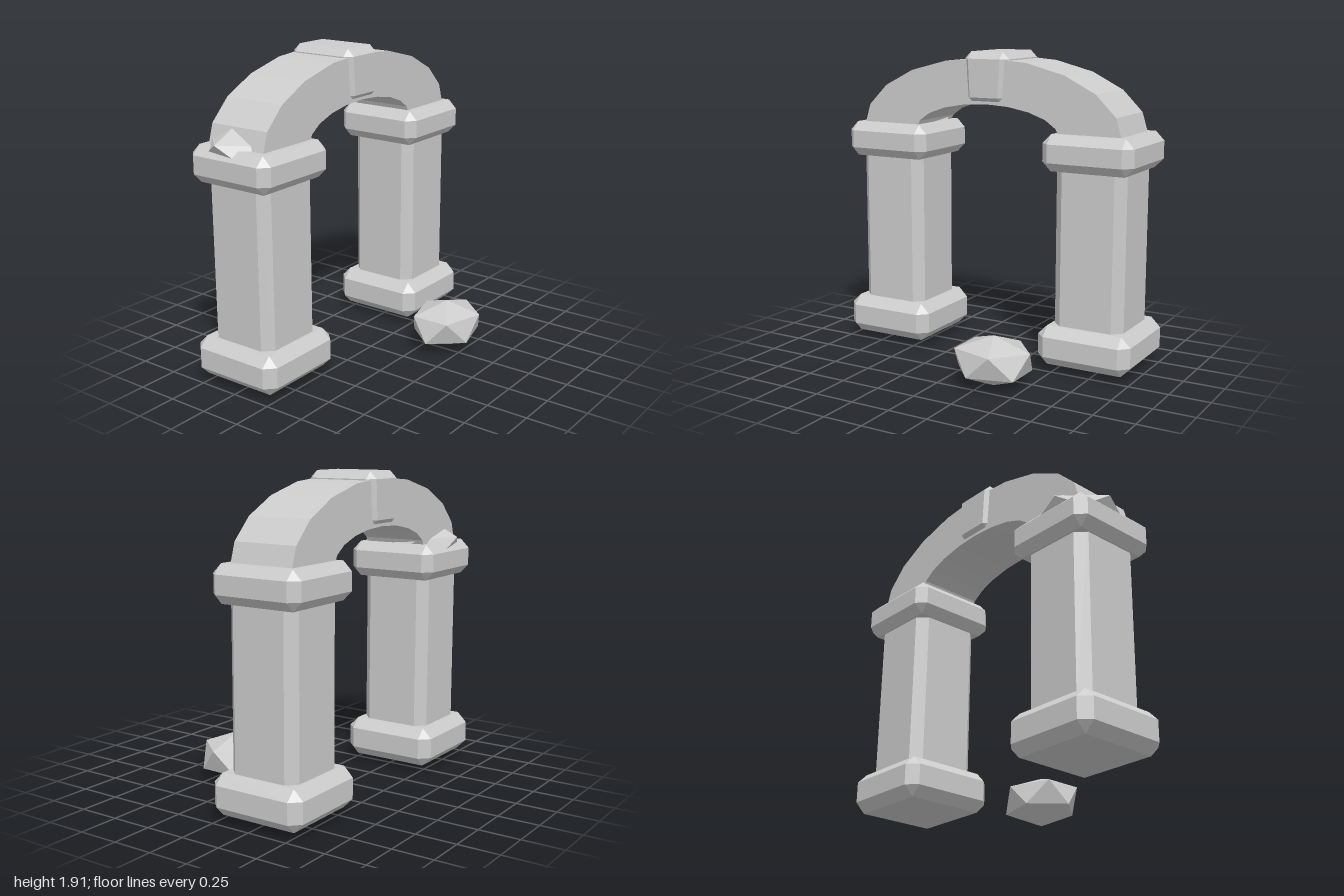
import * as THREE from 'three';
import { ConvexGeometry } from 'three/addons/geometries/ConvexGeometry.js';

const Z = -0.27; // depth centre line of the archway

// Box with every edge cut at 45 degrees; taper narrows the bottom in x
function chamferBox(w, h, d, c, taper = 1) {
  const pts = [];
  for (const sx of [-1, 1]) for (const sy of [-1, 1]) for (const sz of [-1, 1]) {
    const k = sy < 0 ? taper : 1;
    for (let axis = 0; axis < 3; axis++) {
      const half = [w / 2, h / 2, d / 2].map((v, i) => (i === axis ? v : v - c));
      pts.push(new THREE.Vector3(sx * half[0] * k, sy * half[1], sz * half[2]));
    }
  }
  return new ConvexGeometry(pts);
}

// Squashed twenty-sided boulder: two poles and two staggered rings of five
function rockGeometry(rx, rz, bottom, lowRing, highRing, top, turn) {
  const pts = [new THREE.Vector3(0, top, 0), new THREE.Vector3(0, bottom, 0)];
  for (let i = 0; i < 10; i++) {
    const a = turn + i * Math.PI / 5;
    pts.push(new THREE.Vector3(rx * Math.cos(a), i % 2 ? lowRing : highRing, rz * Math.sin(a)));
  }
  return new ConvexGeometry(pts);
}

// Half-ellipse band, thicker at the springing than at the crown
function archGeometry(depth) {
  const pts = [];
  const n = 10;
  for (let i = 0; i <= n; i++) {
    const a = Math.PI * i / n;
    pts.push(new THREE.Vector2(0.9 * Math.cos(a), 0.458 * Math.sin(a)));
  }
  for (let i = n; i >= 0; i--) {
    const a = Math.PI * i / n;
    pts.push(new THREE.Vector2(0.5 * Math.cos(a), 0.18 * Math.sin(a)));
  }
  const geo = new THREE.ExtrudeGeometry(new THREE.Shape(pts), { depth, bevelEnabled: false });
  return geo.translate(0, 0, -depth / 2);
}

export function createModel() {
  const group = new THREE.Group();
  const stone = new THREE.MeshStandardMaterial({ color: 0xcccccc });
  stone.name = 'grey stone';

  const add = (parent, name, geometry, x, y, z) => {
    const mesh = new THREE.Mesh(geometry, stone);
    mesh.name = name;
    mesh.position.set(x, y, z);
    parent.add(mesh);
  };

  // Two matching pillars
  for (const side of [-1, 1]) {
    const pillar = new THREE.Group();
    pillar.name = side > 0 ? 'leftPillar' : 'rightPillar';
    add(pillar, 'base', chamferBox(0.602, 0.245, 0.602, 0.06), 0, 0.16, 0);
    add(pillar, 'shaft', chamferBox(0.45, 1.16, 0.45, 0.058), 0, 0.75, 0);
    add(pillar, 'capital', chamferBox(0.58, 0.22, 0.58, 0.055), 0, 1.334, 0);
    pillar.position.set(side * 0.697, 0, Z);
    group.add(pillar);
  }

  // Arch and keystone
  add(group, 'arch', archGeometry(0.405), 0, 1.414, Z);
  add(group, 'keystone', chamferBox(0.305, 0.319, 0.45, 0.043, 0.88), 0, 1.75, Z);

  // Boulder on the ground, and one wedged on the back corner of a capital
  add(group, 'fallenRock', rockGeometry(0.24, 0.205, 0, 0.09, 0.23, 0.305, 0), 0.307, 0, 0.37);
  add(group, 'wedgedRock', rockGeometry(0.275, 0.25, -0.14, -0.06, 0.03, 0.18, 185 * Math.PI / 180),
    -0.72, 1.44, -0.31);

  return group;
}
